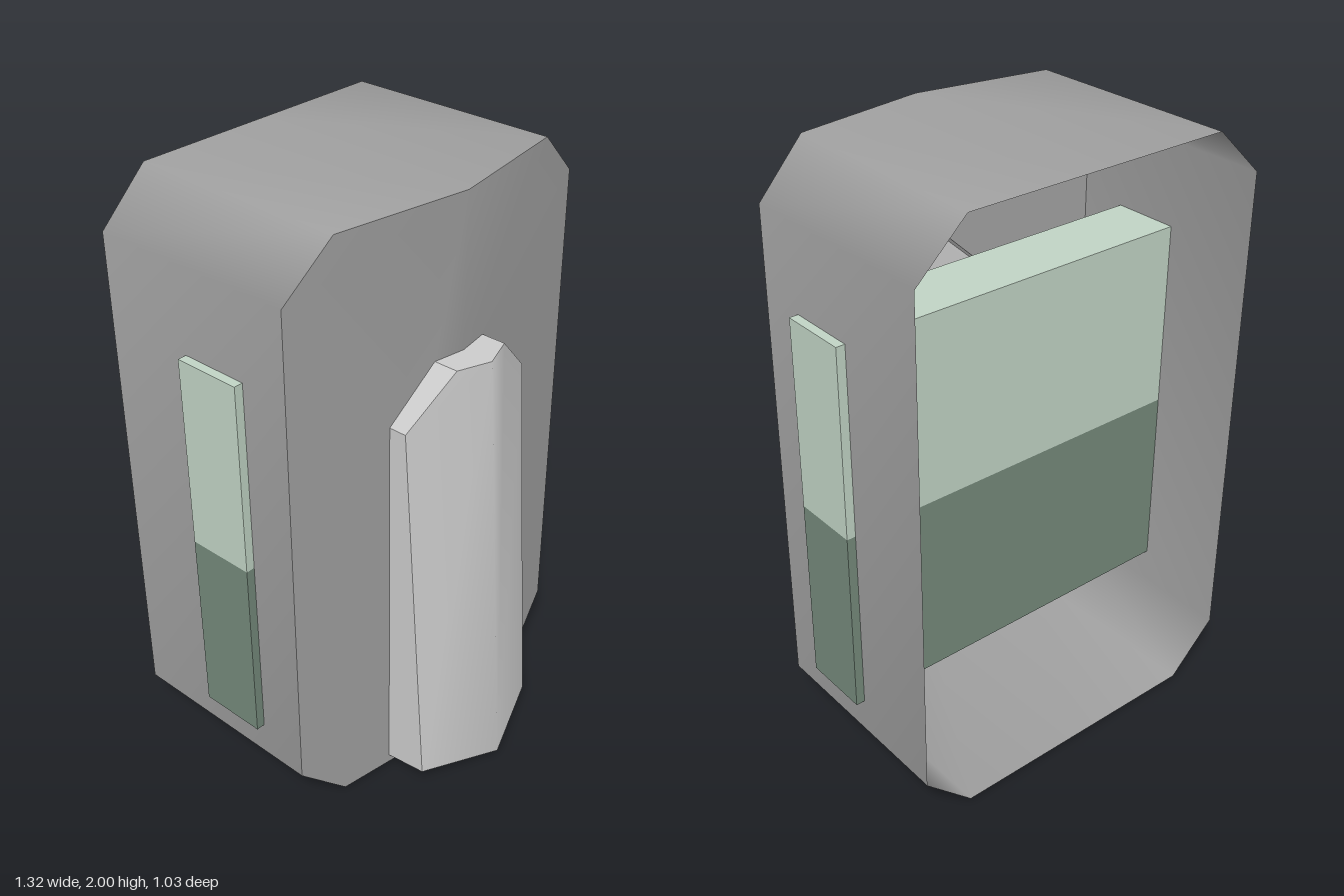
import * as THREE from 'three';
import { mergeVertices, mergeGeometries } from 'three/addons/utils/BufferGeometryUtils.js';

const FLAP_TOP = [[0.275, 1.34], [0.11, 1.5], [0, 1.5]];

// Depth rules: both fronts are folded outward along x = 0.
const bodyZ = (x) => 0.305 - 0.163 * Math.abs(x);
const flapZ = (x, y) => 0.511 - 0.0673 * y - 0.367 * Math.abs(x);

const material = (color) => new THREE.MeshStandardMaterial({ color, side: THREE.DoubleSide });

function addMesh(group, name, geometry, mat) {
  const mesh = new THREE.Mesh(geometry, mat);
  mesh.name = name;
  group.add(mesh);
  return mesh;
}

// Mirrors a half outline into a sheet folded at x = 0, smooth across the fold.
function foldedSheet(half, zRule) {
  const sides = [1, -1].map((s) => {
    const shape = new THREE.Shape(half.map(([x, y]) => new THREE.Vector2(s * x, y)));
    const g = new THREE.ShapeGeometry(shape);
    const p = g.attributes.position;
    for (let i = 0; i < p.count; i++) p.setZ(i, zRule(p.getX(i), p.getY(i)));
    g.deleteAttribute('uv');
    g.deleteAttribute('normal');
    return g;
  });
  const g = mergeVertices(mergeGeometries(sides));
  g.computeVertexNormals();
  return g;
}

// Closed band between a front loop and a back loop, running clockwise from the front.
function band(front, back, smooth) {
  const n = front.length;
  const index = [];
  for (let i = 0; i < n; i++) {
    const j = (i + 1) % n;
    index.push(i, j, n + i, j, n + j, n + i);
  }
  let g = new THREE.BufferGeometry();
  g.setAttribute('position', new THREE.Float32BufferAttribute([...front, ...back].flat(), 3));
  g.setIndex(index);
  if (!smooth) g = g.toNonIndexed();
  g.computeVertexNormals();
  return g;
}

// Full loop from a half outline whose first and last points lie on x = 0.
const mirrorLoop = (half) => [
  ...half,
  ...half.slice(1, -1).reverse().map(([x, y]) => [-x, y]),
];

export function createModel() {
  const model = new THREE.Group();
  model.name = 'model';
  const bodyMat = material(0x9f9f9f);
  const flapMat = material(0xcccccc);

  // Open-backed housing
  const bodyHalf = [[0, 2], [0.46, 2], [0.63, 1.84], [0.63, 0.165], [0.46, 0], [0, 0]];
  const holeHalf = [[0, 0.01], [0.275, 0.03], ...FLAP_TOP];
  const housing = new THREE.Group();
  housing.name = 'housing';
  const rim = mirrorLoop(bodyHalf);
  addMesh(housing, 'housingWall', band(
    rim.map(([x, y]) => [x, y, bodyZ(x)]),
    rim.map(([x, y]) => [x, y, -0.515]), true), bodyMat);
  addMesh(housing, 'housingFront', foldedSheet([...bodyHalf, ...holeHalf], bodyZ), bodyMat);
  model.add(housing);

  // Tapered hollow hood over the front opening
  const hoodHalf = [[0, 0.012], [0.275, 0.05], ...FLAP_TOP];
  const hood = new THREE.Group();
  hood.name = 'hood';
  addMesh(hood, 'hoodFront', foldedSheet(hoodHalf, flapZ), flapMat);
  const outer = mirrorLoop(hoodHalf).reverse();
  const inner = mirrorLoop(holeHalf).reverse();
  addMesh(hood, 'hoodSides', band(
    outer.map(([x, y]) => [x, y, flapZ(x, y)]),
    inner.map(([x, y]) => [x, y, bodyZ(x)]), false), flapMat);
  model.add(hood);

  // Two-tone slab passing through both side walls
  [['upperSlab', 1.24, 0xc0d3c4], ['lowerSlab', 0.602, 0x74887a]].forEach(([name, y, color]) => {
    addMesh(model, name, new THREE.BoxGeometry(1.32, 0.638, 0.23),
      new THREE.MeshStandardMaterial({ color })).position.set(0, y, -0.078);
  });

  return model;
}
